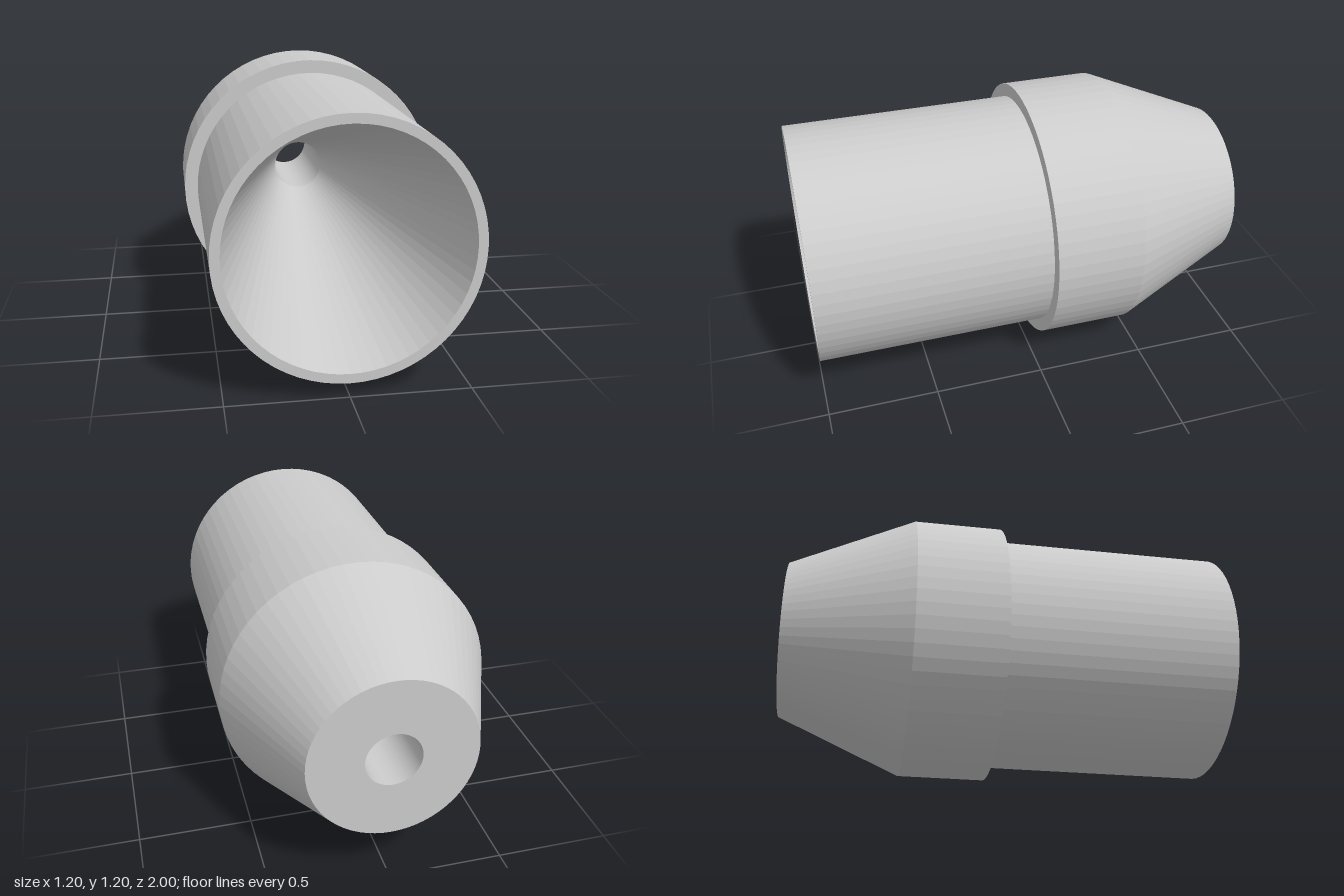
import * as THREE from 'three';

const SIDES = 64;

export function createModel() {
  const model = new THREE.Group();
  model.name = 'nozzle';
  const material = new THREE.MeshStandardMaterial({ color: 0xcccccc, flatShading: true });

  // Each part is a ring surface turned around the z axis from [radius, z] points
  const turn = (name, profile) => {
    const points = profile.map(([r, z]) => new THREE.Vector2(r, z));
    const geometry = new THREE.LatheGeometry(points, SIDES).rotateX(Math.PI / 2);
    const mesh = new THREE.Mesh(geometry, material);
    mesh.name = name;
    mesh.position.y = 0.6;
    model.add(mesh);
  };

  // Flat rear face and tapered outside of the tip
  turn('taperedTip', [[0.12, -1], [0.36, -1], [0.6, -0.44]]);
  // Wide collar with its front shoulder
  turn('collar', [[0.6, -0.44], [0.6, -0.04], [0.54, -0.04]]);
  // Straight barrel and its front rim
  turn('barrel', [[0.54, -0.04], [0.54, 1], [0.5, 1]]);
  // Funnel narrowing from the front mouth
  turn('innerFunnel', [[0.5, 1], [0.12, -0.44]]);
  // Straight bore out through the rear face
  turn('bore', [[0.12, -0.44], [0.12, -1]]);

  return model;
}
